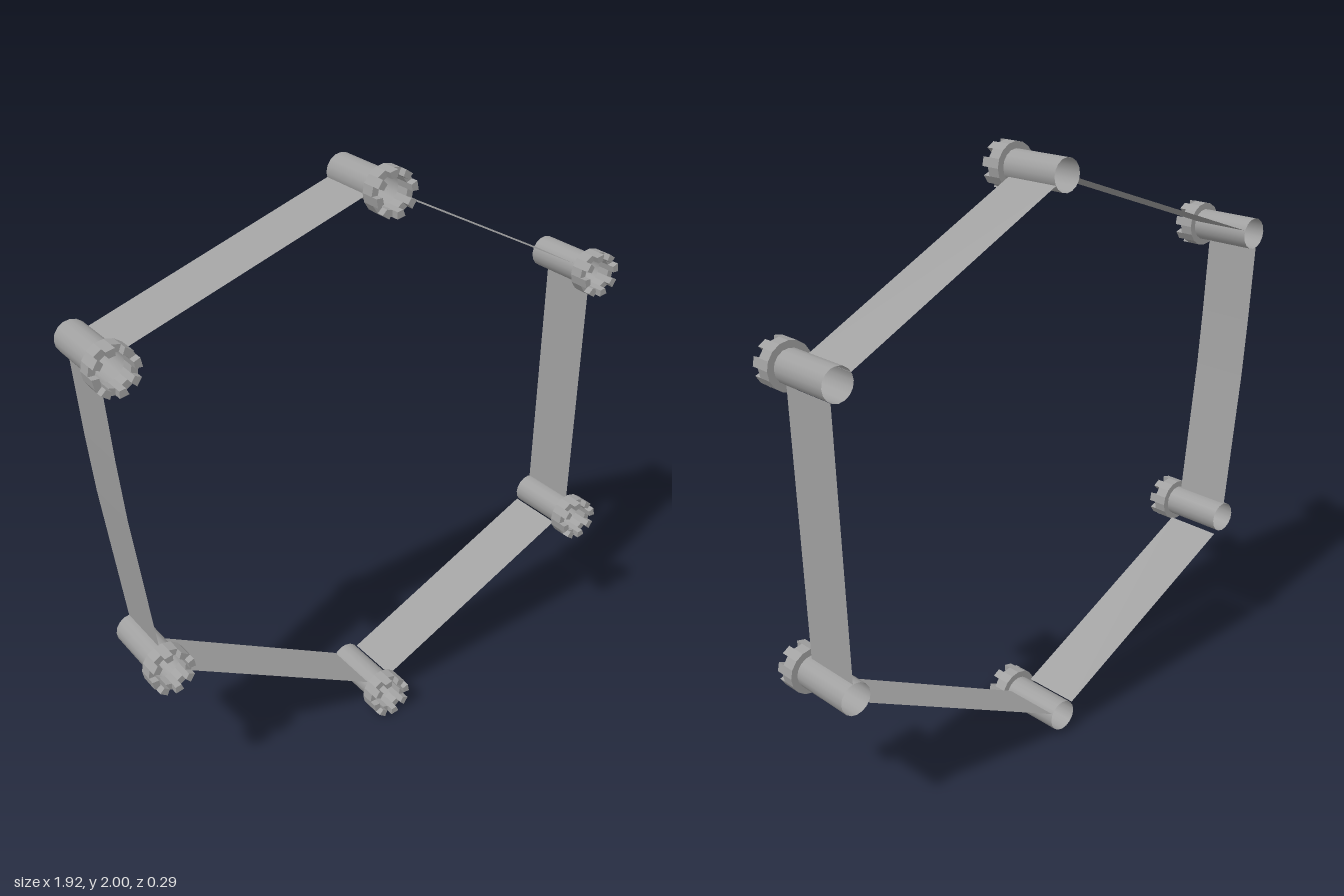
import * as THREE from 'three';

const BACK = -0.145, WALL_FRONT = 0.06, HEAD = 0.075, RIM = 0.12, TIP = 0.145;
const R_IN = 0.053, R_OUT = 0.075;

const stone = new THREE.MeshStandardMaterial({ color: 0xa0a0a0, side: THREE.DoubleSide });
stone.name = 'grey stone';

// Closed ring, or a sector of it, extruded forward from z
function ringSector(a0, a1, steps, z, depth) {
  const at = (r, i) => {
    const a = a0 + (a1 - a0) * i / steps;
    return new THREE.Vector2(r * Math.cos(a), r * Math.sin(a));
  };
  const outer = [], inner = [];
  const full = a1 - a0 > 6.28;
  for (let i = 0; i < steps + (full ? 0 : 1); i++) {
    outer.push(at(R_OUT, i));
    inner.push(at(R_IN, i));
  }
  const shape = new THREE.Shape(full ? outer : outer.concat(inner.reverse()));
  if (full) shape.holes.push(new THREE.Path(inner.reverse()));
  return new THREE.ExtrudeGeometry(shape, { depth, bevelEnabled: false, steps: 1 }).translate(0, 0, z);
}

// Hollow tower lying along z, with an overhanging crown and merlons
const shaftGeo = new THREE.CylinderGeometry(R_IN, R_IN, HEAD - BACK, 16, 1, true)
  .rotateX(Math.PI / 2).translate(0, 0, (HEAD + BACK) / 2);
const crownGeo = ringSector(0, Math.PI * 2, 16, HEAD, RIM - HEAD);
const merlonGeo = ringSector(-Math.PI / 16, Math.PI / 16, 1, RIM, TIP - RIM);

function makeTower(x, y) {
  const tower = new THREE.Group();
  tower.name = 'tower';
  const add = (geo, name) => {
    const mesh = new THREE.Mesh(geo, stone);
    mesh.name = name;
    tower.add(mesh);
    return mesh;
  };
  add(shaftGeo, 'towerShaft');
  add(crownGeo, 'towerCrown');
  for (let i = 0; i < 8; i++) {
    add(merlonGeo, 'merlon').rotation.z = (i + 0.25) * Math.PI / 4;
  }
  tower.position.set(x, y, 0);
  return tower;
}

// Thin upright sheet between two points
function makeWall([x0, y0], [x1, y1]) {
  const length = Math.hypot(x1 - x0, y1 - y0);
  const geo = new THREE.PlaneGeometry(length, WALL_FRONT - BACK).rotateX(Math.PI / 2);
  const wall = new THREE.Mesh(geo, stone);
  wall.name = 'wall';
  wall.position.set((x0 + x1) / 2, (y0 + y1) / 2, (WALL_FRONT + BACK) / 2);
  wall.rotation.z = Math.atan2(y1 - y0, x1 - x0);
  return wall;
}

export function createModel() {
  const model = new THREE.Group();
  model.name = 'curtainWall';

  const towers = [[0.025, 1.925], [0.88, 1.48], [0.88, 0.515], [0.03, 0.08], [-0.80, 0.565], [-0.89, 1.61]];
  for (const [x, y] of towers) model.add(makeTower(x, y));

  // Wall runs, each a polyline from tower to tower
  const runs = [
    [[-0.84, 1.628], [-0.025, 1.91]],
    [[0.07, 1.9], [0.835, 1.505]],
    [[0.906, 1.434], [0.888, 0.567]],
    [[0.832, 0.482], [0.08, 0.107]],
    [[-0.015, 0.115], [-0.757, 0.51]],
    [[-0.804, 0.617], [-0.866, 1.1], [-0.885, 1.3], [-0.905, 1.56]],
  ];
  for (const run of runs) {
    for (let i = 1; i < run.length; i++) model.add(makeWall(run[i - 1], run[i]));
  }
  return model;
}
